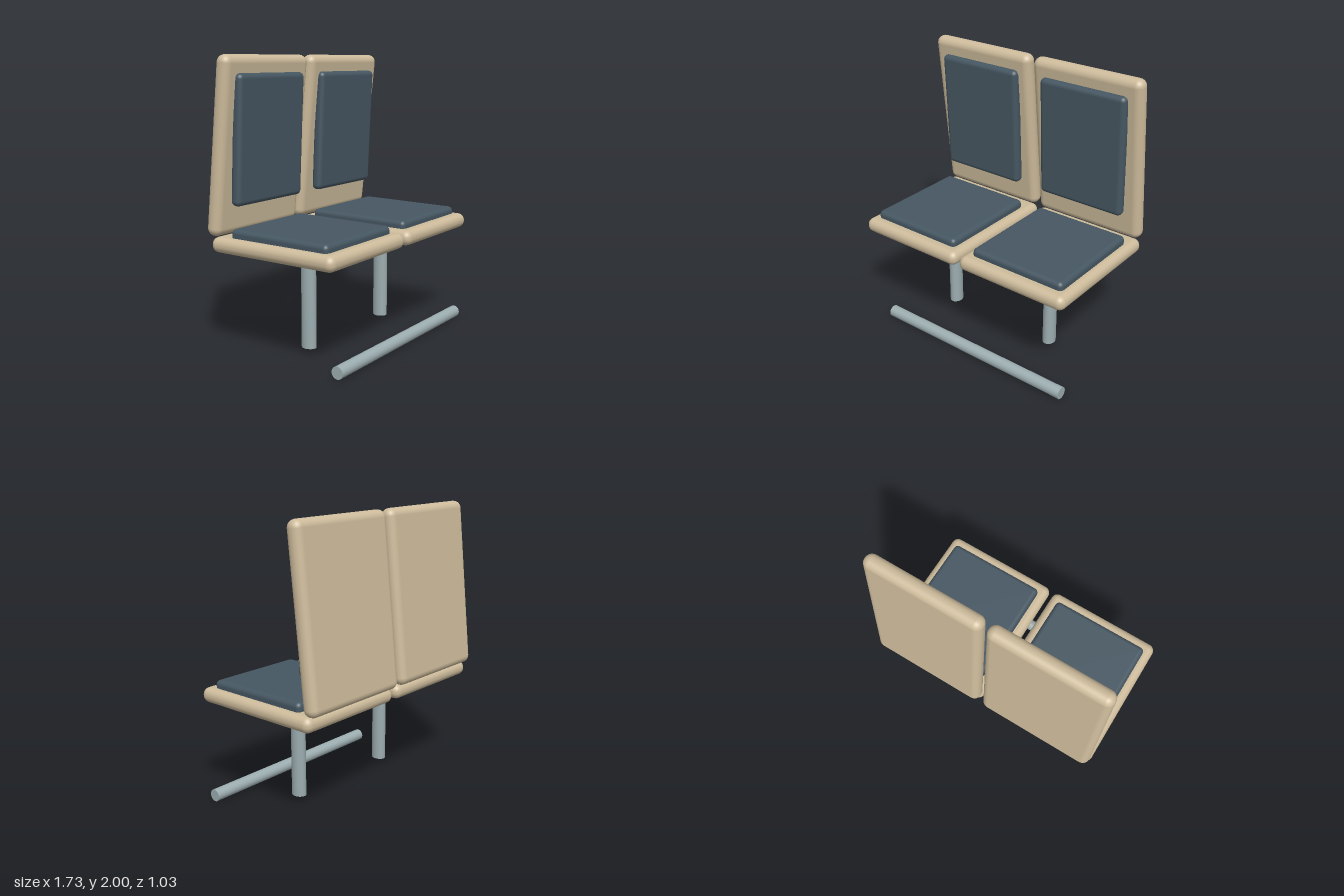
import * as THREE from 'three';
import { RoundedBoxGeometry } from 'three/addons/geometries/RoundedBoxGeometry.js';

export function createModel() {
  const mat = (name, color) => {
    const m = new THREE.MeshStandardMaterial({ color });
    m.name = name;
    return m;
  };
  const tan = mat('tan shell', 0xcdbb9b);
  const slate = mat('slate cushion', 0x465762);
  const steel = mat('grey steel', 0x9cadb0);

  const model = new THREE.Group();
  model.name = 'doubleSeat';

  const add = (parent, name, geometry, material, x, y, z, tilt = 0) => {
    const mesh = new THREE.Mesh(geometry, material);
    mesh.name = name;
    mesh.position.set(x, y, z);
    mesh.rotation.x = tilt;
    parent.add(mesh);
    return mesh;
  };
  const slab = (w, h, d, r) => new RoundedBoxGeometry(w, h, d, 4, r);

  // Two matching seats, each on its own post
  for (const side of [-1, 1]) {
    const seat = new THREE.Group();
    seat.name = side > 0 ? 'leftSeat' : 'rightSeat';
    model.add(seat);

    add(seat, 'seatBase', slab(0.85, 0.105, 0.99, 0.05), tan, side * 0.44, 0.768, 0.024);
    add(seat, 'seatCushion', slab(0.725, 0.085, 0.78, 0.032), slate, side * 0.443, 0.834, 0.05, 0.008);

    // Backrest leans forward at the top; its cushion leans a little less
    add(seat, 'backrest', slab(0.845, 1.186, 0.11, 0.053), tan, side * 0.4375, 1.41, -0.403, 0.108);
    add(seat, 'backCushion', slab(0.665, 0.862, 0.078, 0.034), slate, side * 0.434, 1.45, -0.317, 0.048);

    // Oval support post
    const post = add(seat, 'post', new THREE.CylinderGeometry(0.045, 0.045, 0.685, 16), steel, side * 0.442, 0.3875, 0.02);
    post.scale.z = 1.22;
  }

  // Foot rail in front of the posts
  const rail = add(model, 'footRail', new THREE.CylinderGeometry(0.043, 0.043, 1.55, 20), steel, 0.066, 0.043, 0.446);
  rail.rotation.z = Math.PI / 2;

  return model;
}
